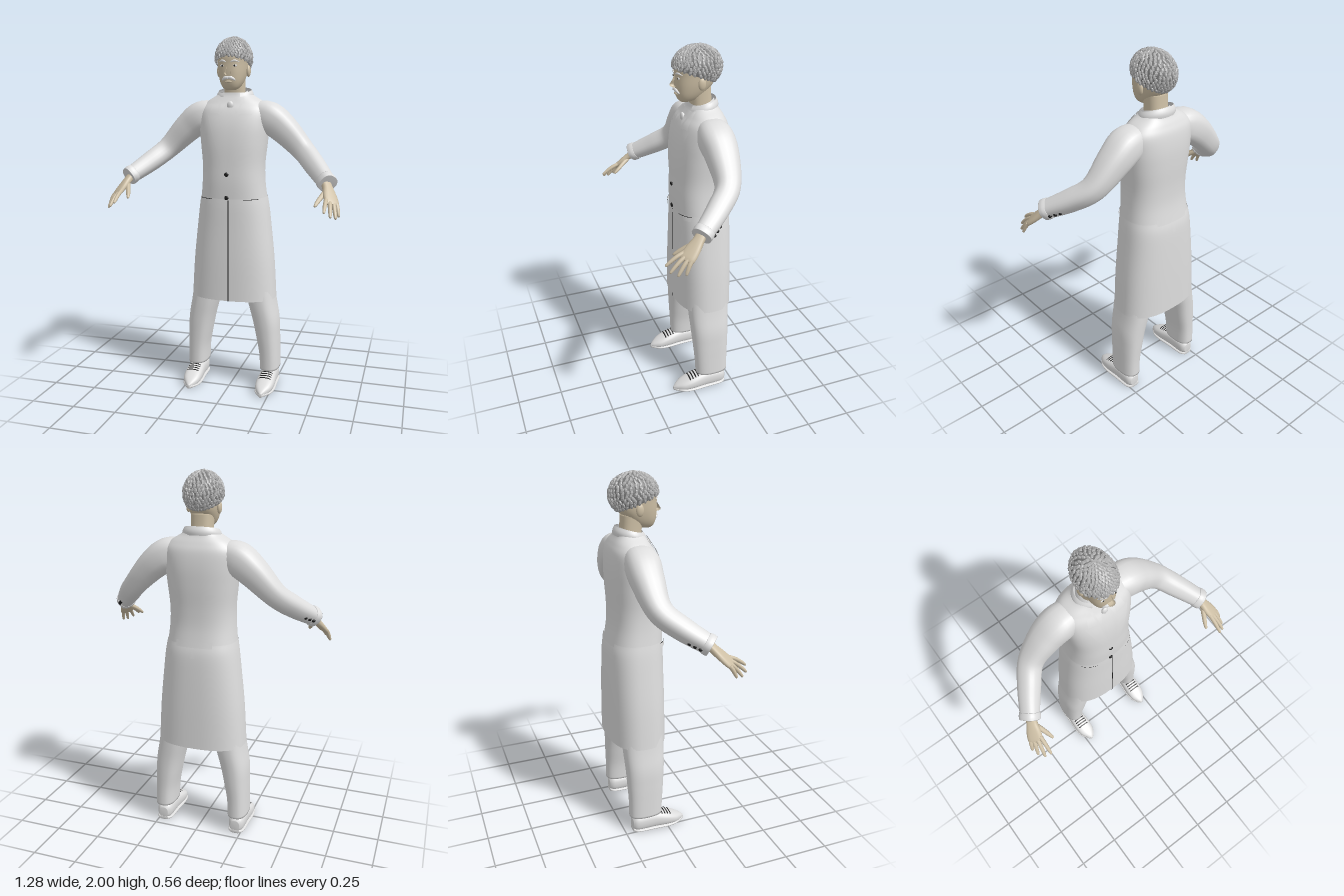
import * as THREE from 'three';
import { mergeGeometries } from 'three/addons/utils/BufferGeometryUtils.js';

const P = 2.5; // squareness of every cross-section
const mat = (name, color, side = THREE.FrontSide) => {
  const m = new THREE.MeshStandardMaterial({ color, side });
  m.name = name;
  return m;
};

// Catmull-Rom through rows of [x, y, z, halfWidth, halfDepth]
function smooth(rows, sub = 6) {
  const out = [], n = rows.length;
  for (let i = 0; i < n - 1; i++) for (let s = 0; s < sub; s++) {
    const t = s / sub, a = rows[Math.max(i - 1, 0)], b = rows[i], c = rows[i + 1], d = rows[Math.min(i + 2, n - 1)];
    out.push(b.map((_, k) => 0.5 * (2 * b[k] + (c[k] - a[k]) * t + (2 * a[k] - 5 * b[k] + 4 * c[k] - d[k]) * t * t
      + (3 * b[k] - a[k] - 3 * c[k] + d[k]) * t * t * t)));
  }
  out.push(rows[n - 1]);
  return out;
}

// Skin rings along the rows; "flat" fixes the ring plane to one direction
function sweep(rows, { n = 24, ref = [0, 0, 1], flat = null, caps = true } = {}) {
  const R = smooth(rows), pos = [], idx = [], up = new THREE.Vector3(...ref), v = (r) => new THREE.Vector3(r[0], r[1], r[2]);
  R.forEach((r, i) => {
    const t = flat ? new THREE.Vector3(...flat)
      : v(R[Math.min(i + 1, R.length - 1)]).sub(v(R[Math.max(i - 1, 0)])).normalize();
    const a = t.clone().cross(up).normalize(), b = a.clone().cross(t);
    for (let j = 0; j < n; j++) {
      const c = Math.cos(j / n * 2 * Math.PI), s = Math.sin(j / n * 2 * Math.PI);
      const q = v(r).addScaledVector(a, Math.sign(c) * Math.abs(c) ** (2 / P) * r[3])
        .addScaledVector(b, Math.sign(s) * Math.abs(s) ** (2 / P) * r[4]);
      pos.push(q.x, q.y, q.z);
      const k = (j + 1) % n, o = i * n;
      if (i < R.length - 1) idx.push(o + j, o + n + j, o + k, o + k, o + n + j, o + n + k);
    }
  });
  if (caps) {
    const last = (R.length - 1) * n, c = pos.length / 3;
    pos.push(...R[0].slice(0, 3), ...R[R.length - 1].slice(0, 3));
    for (let j = 0; j < n; j++) {
      const k = (j + 1) % n;
      idx.push(c, j, k, c + 1, last + k, last + j);
    }
  }
  return build(pos, idx);
}

function build(pos, idx) {
  const g = new THREE.BufferGeometry();
  g.setAttribute('position', new THREE.Float32BufferAttribute(pos, 3));
  g.setIndex(idx);
  g.computeVertexNormals();
  return g;
}

// Open patch from a function of u and v
function patch(f, nu = 10, nv = 10) {
  const pos = [], idx = [];
  for (let j = 0; j <= nv; j++) for (let i = 0; i <= nu; i++) {
    pos.push(...f(i / nu, j / nv));
    const o = j * (nu + 1) + i;
    if (i < nu && j < nv) idx.push(o, o + 1, o + nu + 1, o + 1, o + nu + 2, o + nu + 1);
  }
  return build(pos, idx);
}

// Height of a swept surface above its axis: axis 1 = upright body, axis 2 = shoe
function skin(rows, axis, x, h, sign = 1) {
  const R = smooth(rows);
  let i = R.findIndex((r) => r[axis] > h);
  i = i < 1 ? R.length - 1 : i;
  const t = Math.min(1, Math.max(0, (h - R[i - 1][axis]) / (R[i][axis] - R[i - 1][axis])));
  const r = R[i].map((b, k) => R[i - 1][k] + (b - R[i - 1][k]) * t);
  const w = Math.min(1, Math.abs((x - r[0]) / r[3]));
  return r[3 - axis] + sign * r[4] * (1 - w ** P) ** (1 / P);
}

// Thin plate lying on a body surface between x limits that vary with height
const plate = (rows, y0, y1, xa, xb, off = 0.005, sign = 1, nv = 16) => patch((u, v) => {
  const y = y0 + (y1 - y0) * v, x = xa(v) + (xb(v) - xa(v)) * u;
  return [x, y, skin(rows, 1, x, y, sign) + sign * off];
}, 8, nv);

const ball = (x, y, z, rx, ry, rz) => new THREE.SphereGeometry(1, 16, 12).scale(rx, ry, rz).translate(x, y, z);

export function createModel() {
  const root = new THREE.Group();
  root.name = 'manInLongCoat';
  const white = mat('white cloth', 0xdedede, THREE.DoubleSide), skinTone = mat('skin', 0xcdbfa5);
  const black = mat('black', 0x1c1c1c, THREE.DoubleSide), hairBase = mat('hair shade', 0x777777, THREE.DoubleSide);
  const hairLock = mat('hair', 0xb0b0b0), whisker = mat('white whiskers', 0xe6e6e6);
  const add = (name, g, m) => {
    const mesh = new THREE.Mesh(g, m);
    mesh.name = name;
    root.add(mesh);
  };
  // Left part plus its mirrored twin
  const pair = (name, g, m) => {
    add(name + 'Left', g, m);
    const r = g.clone().scale(-1, 1, 1), ix = r.index.array;
    for (let i = 0; i < ix.length; i += 3) [ix[i], ix[i + 1]] = [ix[i + 1], ix[i]];
    r.computeVertexNormals();
    add(name + 'Right', r, m);
  };
  const Y = [0, 1, 0], upright = { n: 48, flat: Y, caps: false };

  // Coat body and skirt
  const torso = [[0, 1.09, -.115, .19, .148], [0, 1.2, -.105, .178, .142], [0, 1.3, -.105, .176, .14], [0, 1.42, -.11, .188, .141],
    [0, 1.52, -.117, .198, .135], [0, 1.6, -.125, .198, .118], [0, 1.645, -.13, .165, .095], [0, 1.68, -.13, .11, .076], [0, 1.7, -.13, .085, .07]];
  const skirt = [[0, .53, -.12, .247, .16], [0, .75, -.12, .233, .16], [0, .95, -.12, .212, .157], [0, 1.06, -.118, .199, .154], [0, 1.12, -.113, .189, .147]];
  add('coatBody', sweep(torso, upright), white);
  add('coatSkirt', sweep(skirt, upright), white);
  add('coatOpening', plate(skirt, .53, 1.11, () => .002, () => .008, .003), black);
  [1.125, 1.255].forEach((y, i) => add('coatButton' + i, ball(-.005, y, skin(torso, 1, 0, y) + .004, .012, .012, .006), black));
  pair('pocketFlap', plate(skirt, 1.09, 1.115, () => .09, () => .165, .009, 1, 2), white);
  pair('pocketSlit', plate(skirt, 1.115, 1.118, () => .09, () => .165, .01, 1, 1), black);
  add('backBelt', plate(torso, 1.105, 1.14, () => -.1, () => .1, .007, -1, 3), white);
  add('backPleat', plate(skirt, 1.05, 1.11, (v) => -.012 * (1 - v), (v) => .012 * (1 - v) + .001, .008, -1, 4), white);

  // Shirt front, tie, lapels and collars
  add('shirtFront', plate(torso, 1.27, 1.67, (v) => -.08 * v, (v) => .08 * v, .002), white);
  add('tie', plate(torso, 1.29, 1.62, (v) => -.012 - .012 * (1 - v) * v * 4, (v) => .012 + .012 * (1 - v) * v * 4, .006), white);
  add('tieKnot', ball(0, 1.63, skin(torso, 1, 0, 1.63) + .004, .019, .024, .012), white);
  pair('lapel', plate(torso, 1.27, 1.585, (v) => .004 + .05 * v, (v) => .012 + .115 * v ** .9, .009), white);
  pair('upperLapel', plate(torso, 1.59, 1.675, (v) => .056 + .02 * v, (v) => .112 - .025 * v, .009), white);
  pair('shirtCollarWing', plate(torso, 1.585, 1.675, (v) => .04 - .026 * v, (v) => .046 + .016 * v, .012), white);
  const collar = (r, d, yBack, drop, h) => patch((u, v) => {
    const a = (u - .5) * 5.3, c = (1 + Math.cos(a)) / 2, flare = Math.sin(v * Math.PI) * .006 + (1 - v) * .012;
    return [Math.sin(a) * (r + flare), yBack - drop * (1 - c) - h * (1 - v), -.125 - Math.cos(a) * (d + flare)];
  }, 32, 6);
  add('coatCollar', collar(.092, .073, 1.728, .035, .045), white);
  add('shirtCollar', collar(.068, .062, 1.725, .035, .06), white);

  // Sleeves with cuffs and cuff buttons
  pair('sleeve', sweep([[.1, 1.575, -.125, .07, .07], [.19, 1.565, -.125, .088, .09], [.28, 1.5, -.128, .08, .084], [.395, 1.385, -.11, .061, .064],
    [.475, 1.31, -.025, .056, .058], [.557, 1.237, .088, .046, .048]]), white);
  pair('cuff', sweep([[.543, 1.25, .068, .049, .051], [.552, 1.242, .081, .052, .054], [.562, 1.233, .095, .05, .052]]), white);
  for (let i = 0; i < 3; i++)
    pair('cuffButton' + i, ball(.535 + .017 * i, 1.252 - .012 * i, -.012 + .022 * i, .01, .01, .01), black);

  // Hands: palm, four fingers and thumb
  const palm = { n: 16, ref: [.5, .75, .42] };
  pair('palm', sweep([[.54, 1.25, .075, .028, .022], [.562, 1.215, .108, .029, .02], [.58, 1.18, .145, .039, .017],
    [.595, 1.15, .176, .041, .014], [.602, 1.138, .19, .034, .008]], palm), skinTone);
  [[.57, 1.11, .282], [.602, 1.087, .27], [.625, 1.075, .238], [.636, 1.08, .2]].forEach((tip, i) => {
    const k = -.03 + .02 * i, a = [.593 + .86 * k, 1.154 - .43 * k, .174 - .26 * k];
    const at = (t, r, lift) => [...a.map((c, j) => c + (tip[j] - c) * t + (j === 1 ? lift : 0)), r, r];
    pair('finger' + i, sweep([at(0, .011, 0), at(.4, .0105, .006), at(.75, .009, .004), at(.95, .0065, 0), at(1, .002, 0)], { ...palm, n: 10 }), skinTone);
  });
  pair('thumb', sweep([[.56, 1.2, .12, .016, .014], [.54, 1.175, .16, .013, .012], [.524, 1.15, .195, .011, .01],
    [.516, 1.134, .217, .007, .007], [.514, 1.13, .222, .002, .002]], { ...palm, n: 10 }), skinTone);

  // Trousers
  pair('trouserLeg', sweep([[.095, .98, -.12, .095, .12], [.125, .75, -.12, .093, .12], [.165, .53, -.118, .08, .117], [.193, .4, -.118, .074, .11],
    [.206, .3, -.12, .066, .104], [.216, .2, -.122, .058, .098], [.22, .1, -.125, .056, .095]], { n: 32, flat: Y }), white);

  // Shoes, soles and laces
  const shoe = [[.22, .045, -.205, .026, .03], [.22, .05, -.175, .044, .048], [.22, .052, -.08, .048, .05], [.219, .043, 0, .053, .041],
    [.217, .032, .055, .046, .029], [.215, .022, .093, .024, .018], [.215, .016, .113, .005, .007]];
  const along = { n: 24, ref: Y, flat: [0, 0, 1] };
  pair('shoe', sweep(shoe, along), white);
  pair('sole', sweep(shoe.map(([x, , z, w]) => [x, .01, z, w + .003, .01]), along), white);
  for (let i = 0; i < 4; i++) pair('lace' + i, patch((u, v) => {
    const x = .184 + .07 * u, z = -.036 + .017 * i + .007 * v;
    return [x, skin(shoe, 2, x, z) + .004, z];
  }, 8, 1), black);

  // Head, neck and ears
  const head = [[0, 1.712, -.035, .022, .022], [0, 1.725, -.045, .043, .048], [0, 1.755, -.06, .061, .075], [0, 1.8, -.08, .074, .1],
    [0, 1.85, -.09, .08, .11], [0, 1.9, -.095, .083, .114], [0, 1.95, -.1, .07, .095], [0, 1.98, -.1, .035, .05]];
  add('head', sweep(head, { n: 32, flat: Y }), skinTone);
  add('neck', sweep([[0, 1.62, -.13, .062, .062], [0, 1.7, -.12, .058, .057], [0, 1.79, -.11, .058, .06]], { flat: Y }), skinTone);
  pair('ear', ball(.084, 1.815, -.095, .012, .032, .021), skinTone);

  // Face
  const f = (x, y) => skin(head, 1, x, y);
  add('nose', sweep([[0, 1.856, .012, .009, .008], [0, 1.825, .024, .011, .012], [0, 1.803, .031, .018, .017], [0, 1.793, .026, .012, .01]],
    { n: 16, flat: Y }), skinTone);
  add('lowerLip', ball(0, 1.757, f(0, 1.757), .02, .006, .006), skinTone);
  pair('eye', ball(.034, 1.842, f(.034, 1.842) - .001, .014, .006, .004), whisker);
  pair('pupil', ball(.034, 1.842, f(.034, 1.842) + .002, .005, .005, .002), black);
  const strip = (pts) => sweep(pts.map(([x, y, r]) => [x, y, f(x, y) + .001, r, r]), { n: 10, ref: Y });
  pair('eyebrow', strip([[.014, 1.862, .003], [.034, 1.869, .005], [.056, 1.862, .002]]), whisker);
  pair('moustache', strip([[0, 1.779, .008], [.016, 1.778, .009], [.03, 1.77, .006], [.037, 1.764, .002]]), whisker);

  // Hair: scalp cap with overlapping flat locks that follow the hairline
  const edge = (az) => 1.95 - .46 * Math.cos(az);
  const scalp = (az, th, k = 1) => [Math.sin(th) * Math.sin(az) * .096 * k, 1.885 + Math.cos(th) * .108 * k, -.1 + Math.sin(th) * Math.cos(az) * .13 * k];
  add('hairCap', patch((u, v) => scalp(u * 2 * Math.PI, .001 + v * edge(u * 2 * Math.PI)), 40, 16), hairBase);
  let seed = 7;
  const rnd = () => (seed = (seed * 16807) % 2147483647) / 2147483647;
  const locks = [];
  for (let row = 0; row < 13; row++) {
    const count = Math.max(4, Math.round(34 * Math.sin(.12 + row / 13 * 1.9)));
    for (let i = 0; i < count; i++) {
      const az = (i + .5 * (row % 2) + .3 * rnd()) / count * 2 * Math.PI, th = (row + .5) / 13 * edge(az);
      const p = new THREE.Vector3(...scalp(az, th, 1.01));
      const n = new THREE.Vector3(Math.sin(th) * Math.sin(az), Math.cos(th), Math.sin(th) * Math.cos(az));
      const side = new THREE.Vector3(Math.cos(az), 0, -Math.sin(az)), down = n.clone().cross(side);
      const m = new THREE.Matrix4().makeBasis(side, down, n).setPosition(p);
      locks.push(new THREE.SphereGeometry(1, 6, 4).scale(.0085, .015, .006 + .004 * rnd()).rotateZ((rnd() - .5) * .9).applyMatrix4(m));
    }
  }
  const lockGeo = mergeGeometries(locks).toNonIndexed();
  lockGeo.computeVertexNormals();
  add('hairLocks', lockGeo, hairLock);
  return root;
}
